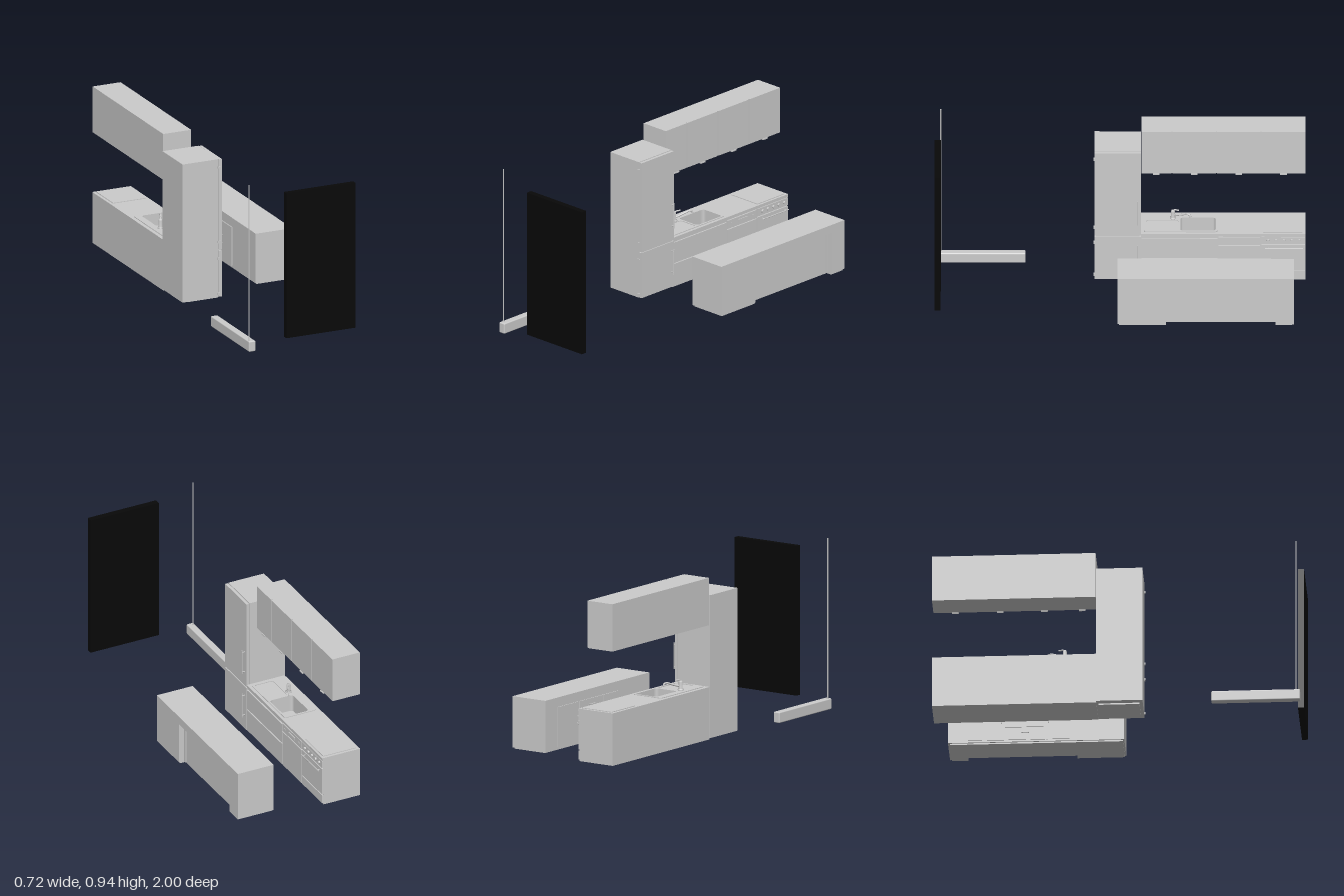
import * as THREE from 'three';
import { RoundedBoxGeometry } from 'three/addons/geometries/RoundedBoxGeometry.js';

const grey = new THREE.MeshStandardMaterial({ color: 0xcccccc });
const black = new THREE.MeshStandardMaterial({ color: 0x080808 });

function add(parent, name, geometry, material = grey) {
  const mesh = new THREE.Mesh(geometry, material);
  mesh.name = name;
  parent.add(mesh);
  return mesh;
}

// Box given by its limits on each axis
function box(parent, name, x0, x1, y0, y1, z0, z1, material) {
  const g = new THREE.BoxGeometry(x1 - x0, y1 - y0, z1 - z0);
  g.translate((x0 + x1) / 2, (y0 + y1) / 2, (z0 + z1) / 2);
  return add(parent, name, g, material);
}

// Floor-plan shape (x, z) raised from y0 to y1
function raisePlan(parent, name, shape, y0, y1) {
  const g = new THREE.ExtrudeGeometry(shape, { depth: y1 - y0, bevelEnabled: false, curveSegments: 6 });
  g.rotateX(Math.PI / 2);
  g.translate(0, y1, 0);
  return add(parent, name, g);
}

function roundRect(path, x0, x1, z0, z1, r) {
  path.moveTo(x0 + r, z0);
  path.lineTo(x1 - r, z0);
  path.quadraticCurveTo(x1, z0, x1, z0 + r);
  path.lineTo(x1, z1 - r);
  path.quadraticCurveTo(x1, z1, x1 - r, z1);
  path.lineTo(x0 + r, z1);
  path.quadraticCurveTo(x0, z1, x0, z1 - r);
  path.lineTo(x0, z0 + r);
  path.quadraticCurveTo(x0, z0, x0 + r, z0);
  return path;
}

function tube(parent, name, points, r) {
  const curve = new THREE.CatmullRomCurve3(points.map((p) => new THREE.Vector3(...p)));
  return add(parent, name, new THREE.TubeGeometry(curve, 20, r, 8));
}

// Bar handle with two posts, standing off a face at x = face
function handle(parent, name, face, reach, y, z, length, vertical) {
  const g = new THREE.Group();
  g.name = name;
  g.position.set(face, y, z);
  const bar = add(g, 'handleBar', new THREE.CylinderGeometry(0.003, 0.003, length, 8));
  bar.position.x = reach;
  for (const s of [-1, 1]) {
    const post = add(g, 'handlePost', new THREE.CylinderGeometry(0.0025, 0.0025, Math.abs(reach), 8));
    post.rotation.z = Math.PI / 2;
    post.position.set(reach / 2, s * length * 0.42, 0);
  }
  if (!vertical) g.rotation.x = Math.PI / 2;
  parent.add(g);
}

function section(root, name) {
  const g = new THREE.Group();
  g.name = name;
  root.add(g);
  return g;
}

function makeFridge(root) {
  const g = section(root, 'fridge');
  box(g, 'fridgeBody', -0.355, -0.14, 0.02, 0.807, -0.112, 0.138);
  box(g, 'upperDoor', -0.137, -0.12, 0.292, 0.805, -0.112, 0.138);
  box(g, 'lowerDoor', -0.137, -0.12, 0.022, 0.284, -0.112, 0.138);
  box(g, 'doorSeal', -0.14, -0.125, 0.03, 0.8, -0.105, 0.13);
  handle(g, 'upperHandle', -0.12, 0.017, 0.44, -0.095, 0.145, true);
  handle(g, 'lowerHandle', -0.12, 0.017, 0.17, -0.095, 0.145, true);
  for (const y of [0.04, 0.24, 0.335, 0.76]) box(g, 'hinge', -0.145, -0.13, y - 0.006, y + 0.006, 0.138, 0.143);
  box(g, 'fridgeBase', -0.32, -0.14, 0.012, 0.02, -0.1, 0.12);
}

function makeBaseUnit(root) {
  const g = section(root, 'baseUnit');
  const plan = (x1) => {
    const s = new THREE.Shape();
    s.moveTo(-0.352, -1).lineTo(x1, -1).lineTo(x1, -0.112).lineTo(-0.352, -0.112).closePath();
    s.holes.push(roundRect(new THREE.Path(), -0.29, -0.15, -0.515, -0.325, 0.02));
    return s;
  };
  raisePlan(g, 'carcass', plan(-0.13), 0.02, 0.285);
  raisePlan(g, 'worktop', plan(-0.122), 0.285, 0.302);
  box(g, 'plinth', -0.352, -0.13, 0.013, 0.021, -1, -0.112);
  box(g, 'basinFloor', -0.295, -0.145, 0.2, 0.21, -0.52, -0.32);
  const drain = add(g, 'drain', new THREE.CylinderGeometry(0.012, 0.012, 0.003, 16));
  drain.position.set(-0.22, 0.211, -0.42);

  // Sink rim and draining tray
  const rim = roundRect(new THREE.Shape(), -0.33, -0.14, -0.525, -0.13, 0.015);
  rim.holes.push(roundRect(new THREE.Path(), -0.29, -0.15, -0.515, -0.325, 0.02));
  rim.holes.push(roundRect(new THREE.Path(), -0.265, -0.15, -0.315, -0.14, 0.02));
  raisePlan(g, 'sinkRim', rim, 0.302, 0.306);

  // Drawers under the sink, dishwasher and oven fronts
  const front = (name, y0, y1, z0, z1) => box(g, name, -0.13, -0.122, y0, y1, z0, z1);
  front('lowerDrawer', 0.022, 0.148, -0.526, -0.115);
  front('upperDrawer', 0.156, 0.272, -0.526, -0.115);
  front('dishwasherDoor', 0.022, 0.228, -0.756, -0.532);
  front('dishwasherPanel', 0.234, 0.28, -0.756, -0.532);
  front('ovenDrawer', 0.022, 0.07, -0.998, -0.763);
  front('ovenDoor', 0.076, 0.234, -0.998, -0.763);
  front('ovenPanel', 0.24, 0.282, -0.998, -0.763);
  box(g, 'dishwasherGrip', -0.122, -0.118, 0.25, 0.266, -0.68, -0.61);
  for (const z of [-0.56, -0.725]) box(g, 'dishwasherButton', -0.122, -0.119, 0.254, 0.262, z - 0.008, z + 0.008);
  handle(g, 'ovenHandle', -0.122, 0.015, 0.22, -0.885, 0.205, false);
  for (let i = 0; i < 5; i++) {
    const knob = add(g, 'ovenKnob', new THREE.CylinderGeometry(0.008, 0.009, 0.01, 14));
    knob.rotation.z = -Math.PI / 2;
    knob.position.set(-0.118, 0.262, -0.8 - i * 0.042);
  }
  raisePlan(g, 'cooktop', roundRect(new THREE.Shape(), -0.335, -0.135, -0.985, -0.775, 0.006), 0.302, 0.306);

  // Mixer tap
  const tap = section(g, 'tap');
  const profile = [[0, 0], [0.017, 0], [0.017, 0.006], [0.011, 0.01], [0.011, 0.045], [0.008, 0.052], [0, 0.053]];
  const body = add(tap, 'tapBody', new THREE.LatheGeometry(profile.map((p) => new THREE.Vector2(...p)), 16));
  body.position.set(-0.285, 0.304, -0.285);
  tube(tap, 'tapSpout', [[-0.282, 0.325, -0.285], [-0.265, 0.338, -0.325], [-0.248, 0.352, -0.36], [-0.242, 0.35, -0.377], [-0.24, 0.338, -0.38]], 0.005);
  tube(tap, 'tapLever', [[-0.285, 0.353, -0.282], [-0.28, 0.36, -0.295], [-0.272, 0.361, -0.318]], 0.004);
}

function makeWallCabinet(root) {
  const g = section(root, 'wallCabinet');
  box(g, 'cabinetBody', -0.35, -0.19, 0.642, 0.903, -1, -0.115);
  const splits = [-0.115, -0.28, -0.52, -0.76, -1];
  for (let i = 0; i < 4; i++) {
    const z1 = splits[i] - (i ? 0.003 : 0), z0 = splits[i + 1] + (i < 3 ? 0.003 : 0);
    const mid = (z0 + z1) / 2;
    box(g, 'cabinetDoor', -0.19, -0.183, 0.644, 0.903, z0, z1);
    box(g, 'cabinetPull', -0.188, -0.178, 0.638, 0.644, mid - 0.018, mid + 0.018);
  }
}

function makeIsland(root) {
  const g = section(root, 'island');
  const s = new THREE.Shape();
  [[0.142, -0.94], [0.36, -0.94], [0.36, -0.84], [0.326, -0.84], [0.326, -0.25], [0.36, -0.25], [0.36, 0.013], [0.142, 0.013]]
    .forEach(([x, z], i) => (i ? s.lineTo(x, z) : s.moveTo(x, z)));
  s.closePath();
  raisePlan(g, 'islandBody', s, 0.02, 0.256);
  box(g, 'islandTop', 0.142, 0.36, 0.256, 0.302, -0.94, 0.013);
  box(g, 'islandPlinth', 0.15, 0.355, 0.012, 0.02, -0.93, -0.84);
  box(g, 'islandPlinth', 0.15, 0.355, 0.012, 0.02, -0.25, 0.005);
  box(g, 'islandPlinth', 0.15, 0.322, 0.012, 0.02, -0.84, -0.25);
  // Trim inside the recess
  box(g, 'recessTrim', 0.326, 0.332, 0.244, 0.256, -0.84, -0.25);
  box(g, 'recessTrim', 0.326, 0.332, 0.02, 0.244, -0.84, -0.828);
  box(g, 'recessTrim', 0.326, 0.332, 0.02, 0.244, -0.268, -0.25);
  // Doors and drawers facing the worktop
  const front = (name, y0, y1, z0, z1) => box(g, name, 0.137, 0.142, y0, y1, z0, z1);
  front('leftDoor', 0.03, 0.25, -0.83, -0.637);
  front('rightDoor', 0.03, 0.25, -0.408, -0.28);
  for (let i = 0; i < 3; i++) {
    const y = 0.03 + i * 0.075;
    front('drawer', y, y + 0.07, -0.631, -0.414);
    handle(g, 'drawerHandle', 0.137, -0.008, y + 0.04, -0.522, 0.04, false);
  }
  for (const z of [-0.65, -0.395]) handle(g, 'doorHandle', 0.137, -0.008, 0.15, z, 0.05, true);
}

export function createModel() {
  const root = new THREE.Group();
  root.name = 'kitchen';
  makeFridge(root);
  makeBaseUnit(root);
  makeWallCabinet(root);
  makeIsland(root);

  // Freestanding panel, floor beam and pole
  box(root, 'blackPanel', -0.145, 0.269, 0.051, 0.875, 0.967, 1, black);
  const beam = add(root, 'floorBeam', new RoundedBoxGeometry(0.04, 0.06, 0.48, 3, 0.006));
  beam.position.set(-0.344, 0.03, 0.75);
  const pole = add(root, 'pole', new THREE.CylinderGeometry(0.003, 0.003, 0.89, 10));
  pole.position.set(-0.353, 0.5, 0.968);
  const collar = add(root, 'poleCollar', new THREE.CylinderGeometry(0.006, 0.006, 0.004, 12));
  collar.position.set(-0.353, 0.061, 0.968);
  return root;
}
